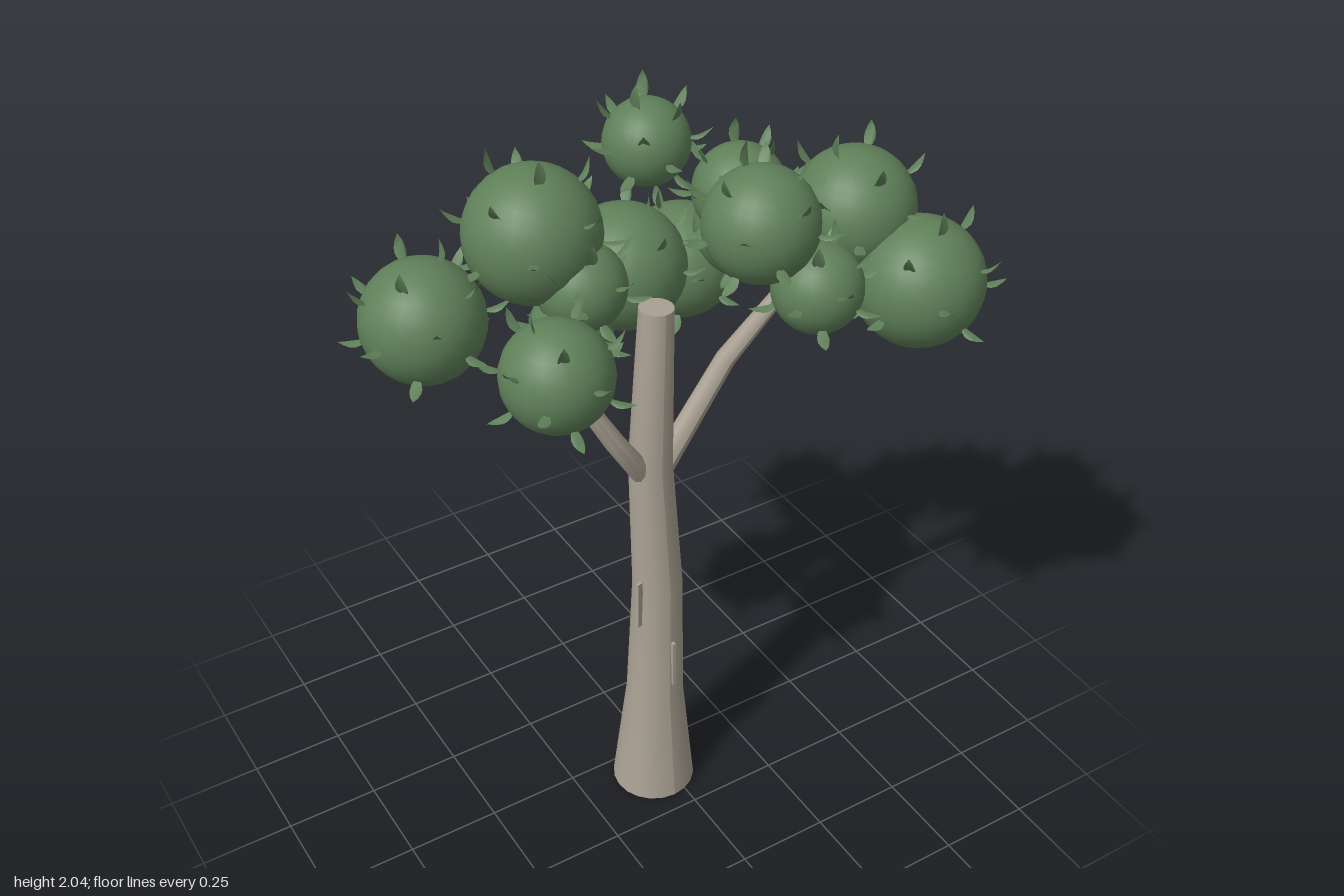
import * as THREE from 'three';
import { mergeGeometries } from 'three/addons/utils/BufferGeometryUtils.js';

const bark = new THREE.MeshStandardMaterial({ color: 0xaaa193 });
bark.name = 'bark';
const foliage = new THREE.MeshStandardMaterial({ color: 0x5f8059 });
foliage.name = 'foliage';
const leafGreen = new THREE.MeshStandardMaterial({ color: 0x5f8059, side: THREE.DoubleSide });
leafGreen.name = 'leaf green';

// Tapered limb through stations [x, y, z, radius], with closed ends
function limb(stations, sides) {
  const n = stations.length - 1;
  const pts = stations.map((s) => new THREE.Vector3(s[0], s[1], s[2]));
  const frames = pts.map((p, i) => {
    const t = pts[Math.min(i + 1, n)].clone().sub(pts[Math.max(i - 1, 0)]).normalize();
    if (p.y === 0) t.set(0, 1, 0);
    const u = t.clone().cross(new THREE.Vector3(0, 0, 1)).normalize();
    return { u, v: u.clone().cross(t) };
  });
  const geo = new THREE.CylinderGeometry(1, 1, 1, sides, n);
  const pos = geo.attributes.position;
  for (let i = 0; i < pos.count; i++) {
    const k = Math.round((pos.getY(i) + 0.5) * n);
    const r = stations[k][3];
    const p = pts[k].clone()
      .addScaledVector(frames[k].u, pos.getX(i) * r)
      .addScaledVector(frames[k].v, pos.getZ(i) * r);
    pos.setXYZ(i, p.x, p.y, p.z);
  }
  geo.computeVertexNormals();
  return geo;
}

// Pointed flat leaf along +y that curls up towards its tip
function leafGeometry() {
  const s = new THREE.Shape();
  s.moveTo(-0.004, 0);
  s.quadraticCurveTo(-0.026, 0.03, 0, 0.064);
  s.quadraticCurveTo(0.026, 0.03, 0.004, 0);
  const geo = new THREE.ShapeGeometry(s, 5);
  const pos = geo.attributes.position;
  for (let i = 0; i < pos.count; i++) {
    const y = pos.getY(i);
    pos.setZ(i, 4 * y * y - 4 * Math.abs(pos.getX(i)) ** 1.5);
  }
  geo.computeVertexNormals();
  return geo;
}

// Leaves spread evenly over one foliage ball
function leavesOn(r, seed) {
  const leaf = leafGeometry();
  const count = 16;
  const all = [];
  for (let i = 0; i < count; i++) {
    const y = 0.94 - (1.6 * i) / (count - 1);
    const a = i * 2.39996 + seed * 1.7;
    const h = Math.sqrt(1 - y * y);
    const out = new THREE.Vector3(h * Math.cos(a), y, h * Math.sin(a));
    const w = out.clone().cross(new THREE.Vector3(0, 1, 0)).normalize();
    const m = new THREE.Matrix4().makeBasis(w, out, w.clone().cross(out));
    m.setPosition(out.clone().multiplyScalar(r - 0.008));
    all.push(leaf.clone().applyMatrix4(m));
  }
  return mergeGeometries(all);
}

export function createModel() {
  const tree = new THREE.Group();
  tree.name = 'tree';
  const add = (name, geo, mat, parent = tree) => {
    const mesh = new THREE.Mesh(geo, mat);
    mesh.name = name;
    parent.add(mesh);
    return mesh;
  };

  // Trunk with flared foot, and two bent branches
  add('trunk', limb([
    [-0.037, 0, 0.09, 0.113], [-0.03, 0.33, 0.085, 0.077], [-0.025, 0.7, 0.087, 0.066],
    [-0.047, 1.1, 0.087, 0.056], [-0.03, 1.54, 0.085, 0.043],
  ], 20), bark);
  add('rightBranch', limb([
    [-0.07, 1.07, 0.09, 0.03], [-0.18, 1.24, 0.14, 0.026], [-0.29, 1.45, 0.06, 0.019],
  ], 10), bark);
  add('leftBranch', limb([
    [-0.01, 1.08, 0.09, 0.031], [0.16, 1.34, 0.1, 0.026], [0.29, 1.54, 0.16, 0.019],
  ], 10), bark);

  // Upright bark ridges: x, y, z, heading around the trunk, height
  [
    [-0.092, 0.665, 0.11, Math.PI - 0.3, 0.145],
    [-0.02, 0.46, 0.155, Math.PI / 2, 0.145],
    [-0.04, 1.08, 0.026, -Math.PI / 2, 0.15],
    [0.024, 1.285, 0.055, -0.5, 0.15],
  ].forEach(([x, y, z, a, h], i) => {
    const ridge = add(`barkRidge${i + 1}`, new THREE.BoxGeometry(0.024, h, 0.009), bark);
    ridge.position.set(x, y, z);
    ridge.rotation.y = -a;
  });

  // Foliage balls: x, y, z, radius
  [
    [-0.57, 1.62, -0.03, 0.146], [-0.29, 1.76, -0.025, 0.162],
    [-0.36, 1.53, 0.2, 0.133], [-0.075, 1.495, -0.37, 0.122],
    [0.005, 1.535, -0.125, 0.158], [-0.16, 1.57, -0.2, 0.102],
    [0.205, 1.465, -0.18, 0.148], [-0.22, 1.65, 0.07, 0.107],
    [-0.15, 1.42, -0.11, 0.104], [0.035, 1.885, -0.065, 0.104],
    [0.105, 1.825, 0.3, 0.134], [0.237, 1.645, 0.345, 0.108],
    [0.55, 1.555, 0.33, 0.16], [0.477, 1.69, 0.155, 0.152],
    [0.268, 1.715, -0.02, 0.117], [0.305, 1.61, -0.03, 0.137],
  ].forEach(([x, y, z, r], i) => {
    const cluster = new THREE.Group();
    cluster.name = `foliageCluster${i + 1}`;
    cluster.position.set(x, y, z);
    add('foliageBall', new THREE.SphereGeometry(r, 24, 16), foliage, cluster);
    add('leaves', leavesOn(r, i), leafGreen, cluster);
    tree.add(cluster);
  });
  return tree;
}
